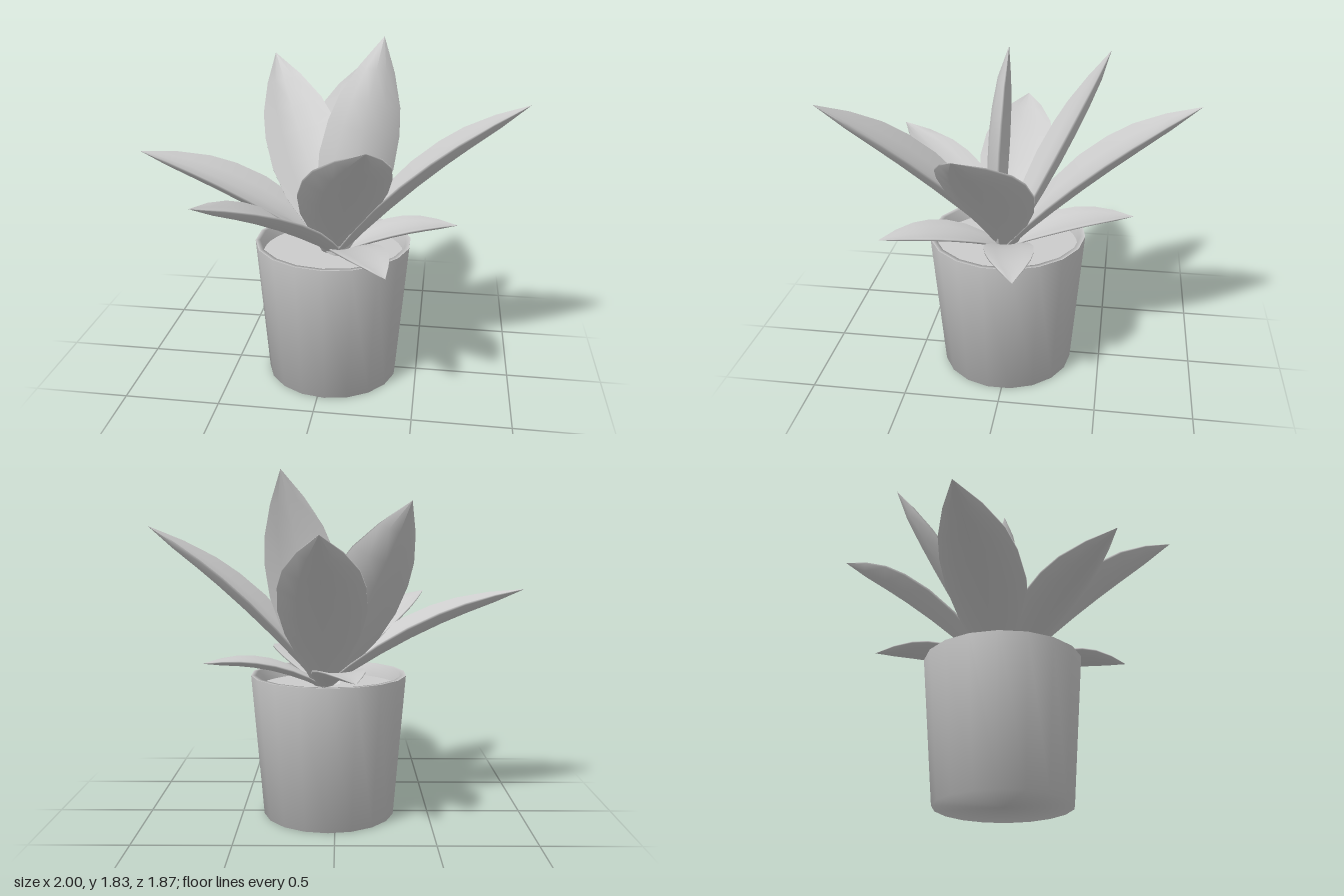
import * as THREE from 'three';

const V = (x, y, z) => new THREE.Vector3(x, y, z);

// Half-width of a leaf along its length, as a share of the widest point
const OUTLINE = [[0, 0.25], [0.15, 0.58], [0.3, 0.88], [0.45, 1], [0.6, 0.95], [0.72, 0.8], [0.86, 0.46], [1, 0]];
const ACROSS = [-1, -0.55, 0, 0.55, 1];
// Cross-section loop: over the inner skin, then back along the outer skin
const RING = [
  ...ACROSS.map((u) => ({ u, outer: 0 })),
  ...[...ACROSS].reverse().map((u) => ({ u, outer: 1 })),
];

// Fleshy, cupped leaf with a thin rounded rim
function leafGeometry({ base, tip, width, face = V(0, 1, 0), arch = 0.06, cup = 0.24, thick = 0.04 }) {
  const dir = tip.clone().sub(base).normalize();
  const side = dir.clone().cross(face).normalize();
  const up = side.clone().cross(dir);
  const middle = base.clone().lerp(tip, 0.5).addScaledVector(up, arch * 2);
  const path = new THREE.QuadraticBezierCurve3(base, middle, tip);
  const positions = [], index = [], n = RING.length;

  OUTLINE.forEach(([t, share], j) => {
    const half = share * width / 2;
    const centre = path.getPoint(t);
    RING.forEach(({ u, outer }, i) => {
      const depth = outer * thick * Math.sqrt(share) * (1 - 0.7 * u * u);
      const p = centre.clone().addScaledVector(side, u * half).addScaledVector(up, cup * half * u * u - depth);
      positions.push(p.x, p.y, p.z);
      if (j === OUTLINE.length - 1) return;
      const a = j * n + i, b = j * n + (i + 1) % n, c = a + n, d = b + n;
      index.push(a, b, c, b, d, c);
    });
  });
  const geometry = new THREE.BufferGeometry();
  geometry.setAttribute('position', new THREE.Float32BufferAttribute(positions, 3));
  geometry.setIndex(index);
  geometry.computeVertexNormals();
  return geometry;
}

const lathe = (points) => new THREE.LatheGeometry(points.map(([r, y]) => new THREE.Vector2(r, y)), 18);

export function createModel() {
  const group = new THREE.Group();
  const grey = new THREE.MeshStandardMaterial({ color: 0xcccccc });
  grey.name = 'light grey';

  const add = (name, geometry) => {
    const mesh = new THREE.Mesh(geometry, grey);
    mesh.name = name;
    group.add(mesh);
    return mesh;
  };

  // Tapered pot with a thin rim and an open top
  add('pot', lathe([[0, 0], [0.352, 0], [0.414, 0.76]])).position.set(0.035, 0, 0.015);
  add('potRim', lathe([[0.414, 0.76], [0.388, 0.76], [0.375, 0.66]])).position.set(0.035, 0, 0.015);

  // Soil just below the rim
  const soil = add('soil', new THREE.CircleGeometry(0.379, 18));
  soil.rotation.x = -Math.PI / 2;
  soil.position.set(0.035, 0.69, 0.015);

  // Large leaves rising from the middle
  const base = V(0.06, 0.69, 0.02);
  const low = { width: 0.25, arch: 0.06, cup: 0.15, thick: 0.03 };
  const leaves = [
    { name: 'leftLeaf', tip: V(1, 1.54, 0.1), width: 0.44 },
    { name: 'rightLeaf', tip: V(-1, 1.21, 0.03), width: 0.41, arch: 0.07 },
    { name: 'backLeaf', tip: V(0.06, 1.51, -0.94), width: 0.44 },
    { name: 'backRightLeaf', tip: V(-0.36, 1.66, -0.48), width: 0.41, face: V(0, 1, 0.8), arch: 0 },
    { name: 'frontLeaf', base: V(0.03, 0.69, 0.02), tip: V(0.29, 1.51, 0.93), width: 0.44 },
    { name: 'frontRightLeaf', tip: V(-0.53, 1.15, 0.7), width: 0.31 },
    { name: 'uprightLeaf', base: V(0.05, 0.69, 0.06), tip: V(0.28, 1.83, -0.03), width: 0.39, face: V(0, 0, -1), arch: -0.04 },
    // Small low leaves drooping over the rim
    { name: 'lowLeftLeaf', tip: V(0.69, 0.83, -0.1), ...low },
    { name: 'lowFrontLeaf', tip: V(0.36, 0.83, 0.63), ...low },
    { name: 'lowBackLeaf', tip: V(-0.1, 0.83, -0.65), ...low },
  ];
  for (const leaf of leaves) {
    add(leaf.name, leafGeometry({ base, ...leaf }));
  }
  return group;
}
